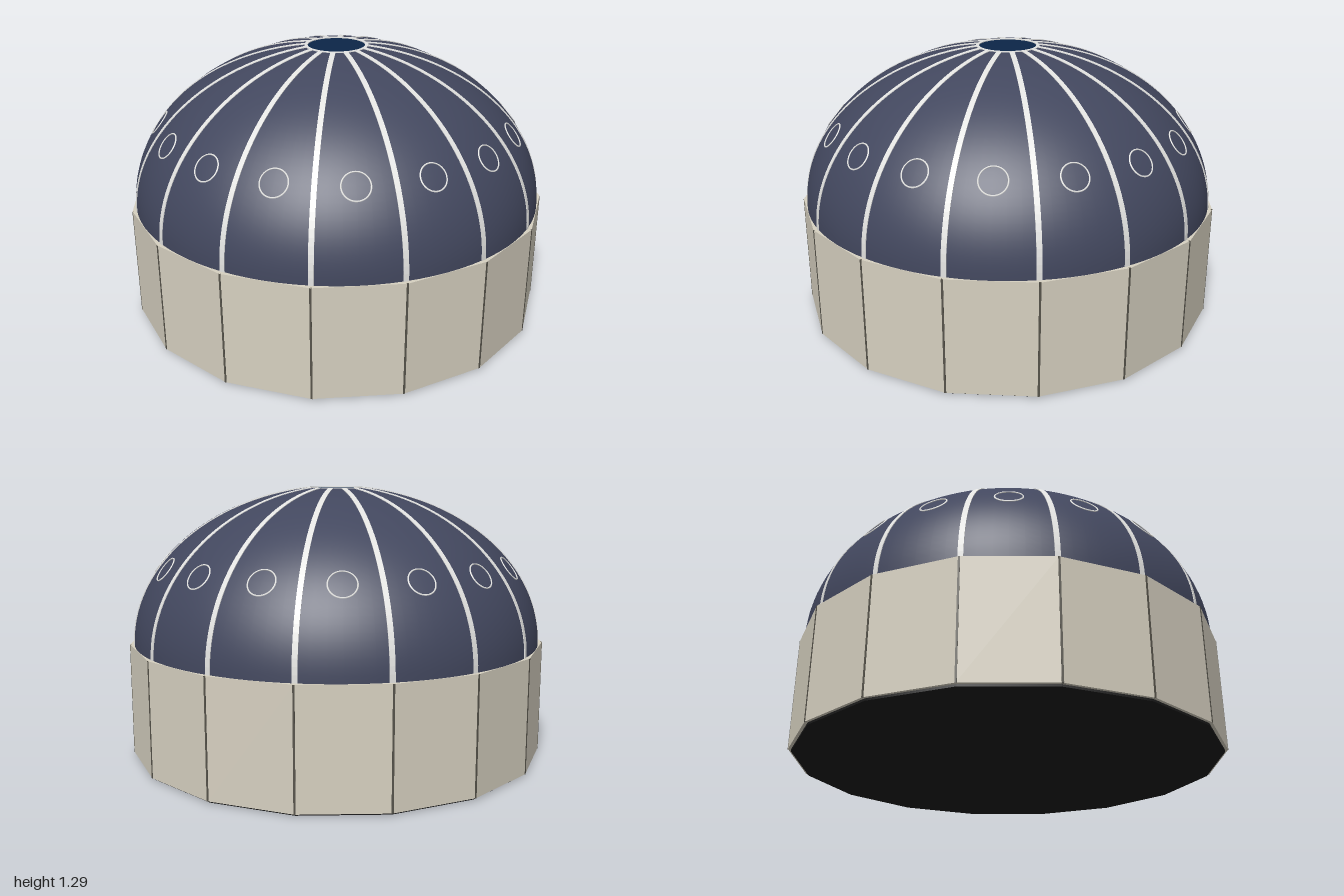
import * as THREE from 'three';

const SIDES = 16;
const STEP = (Math.PI * 2) / SIDES;
const BASE_Y = 0.55;      // springing line of the dome
const DOME_R = 0.996;
const DOME_H = 0.75;
const OCULUS_R = 0.15;
const APOTHEM = 0.998;
const CORNER_R = APOTHEM / Math.cos(STEP / 2);

const mat = (name, color) => {
  const m = new THREE.MeshStandardMaterial({ color });
  m.name = name;
  return m;
};

// Point on the dome's elliptical meridian, pushed outward by an offset
function meridian(t, offset = 0) {
  const n = new THREE.Vector2(Math.cos(t) / DOME_R, Math.sin(t) / DOME_H).normalize();
  return new THREE.Vector2(DOME_R * Math.cos(t), BASE_Y + DOME_H * Math.sin(t)).addScaledVector(n, offset);
}

function arc(offset, count) {
  const end = Math.acos(OCULUS_R / DOME_R);
  return Array.from({ length: count + 1 }, (_, i) => meridian((end * i) / count, offset));
}

export function createModel() {
  const stone = mat('stone', 0xd6d0c0);
  const seamGrey = mat('seam grey', 0x57544b);
  const slate = mat('slate blue', 0x42475e);
  const white = mat('rib white', 0xe2e2e0);
  const glass = mat('oculus blue', 0x0c2548);
  const black = mat('floor black', 0x1a1a1a);
  slate.side = THREE.DoubleSide;

  const model = new THREE.Group();
  model.name = 'ribbedDome';
  const add = (name, geometry, material, parent = model) => {
    const mesh = new THREE.Mesh(geometry, material);
    mesh.name = name;
    parent.add(mesh);
    return mesh;
  };
  const group = (name) => {
    const g = new THREE.Group();
    g.name = name;
    model.add(g);
    return g;
  };

  // Sixteen-sided drum with flat walls
  const drumGeo = new THREE.CylinderGeometry(CORNER_R, CORNER_R, BASE_Y - 0.01, SIDES, 1);
  drumGeo.rotateY(STEP / 2);
  const flatDrum = drumGeo.toNonIndexed();
  flatDrum.computeVertexNormals();
  add('drum', flatDrum, stone).position.y = (BASE_Y + 0.01) / 2;

  // Floor plate, slightly inset under the drum
  const floorGeo = new THREE.CylinderGeometry(CORNER_R - 0.014, CORNER_R - 0.014, 0.012, SIDES);
  floorGeo.rotateY(STEP / 2);
  add('floor', floorGeo, black).position.y = 0.006;

  // Smooth dome shell, open at the oculus
  add('domeShell', new THREE.LatheGeometry(arc(0, 32), 96), slate);

  // Ribs and wall seams at the drum corners
  const outer = arc(0.003, 32);
  const inner = arc(-0.006, 32).reverse();
  const ribGeo = new THREE.ExtrudeGeometry(new THREE.Shape([...outer, ...inner]), {
    depth: 0.024, bevelEnabled: false,
  });
  ribGeo.translate(0, 0, -0.012);
  const seamGeo = new THREE.BoxGeometry(0.008, BASE_Y - 0.01, 0.009);
  const ribs = group('ribs');
  const seams = group('wallSeams');
  for (let i = 0; i < SIDES; i++) {
    const a = (i + 0.5) * STEP;
    add('rib', ribGeo, white, ribs).rotation.y = a;
    const seam = add('wallSeam', seamGeo, seamGrey, seams);
    seam.position.set(Math.cos(a) * (CORNER_R - 0.003), (BASE_Y + 0.01) / 2, -Math.sin(a) * (CORNER_R - 0.003));
    seam.rotation.y = a;
  }

  // Round window frames, one centred on every dome panel
  const frameGeo = new THREE.TorusGeometry(0.062, 0.0035, 6, 40);
  const windows = group('windowFrames');
  const t = Math.acos(0.86 / DOME_R);
  const spot = meridian(t, 0.001);
  const tilt = Math.atan2(Math.sin(t) / DOME_H, Math.cos(t) / DOME_R);
  for (let i = 0; i < SIDES; i++) {
    const pivot = new THREE.Group();
    pivot.name = 'windowFrame';
    pivot.rotation.y = i * STEP;
    windows.add(pivot);
    const frame = add('frameRing', frameGeo, white, pivot);
    frame.position.set(0, spot.y, spot.x);
    frame.rotation.x = -tilt;
    // Bend the ring so it hugs the curved shell
    if (i === 0) {
      const p = frameGeo.attributes.position;
      for (let k = 0; k < p.count; k++) {
        const x = p.getX(k), y = p.getY(k);
        p.setZ(k, p.getZ(k) - 0.55 * x * x - 0.45 * y * y);
      }
      frameGeo.computeVertexNormals();
    }
  }

  // Oculus rim and its glass disc
  const top = BASE_Y + DOME_H * Math.sin(Math.acos(OCULUS_R / DOME_R));
  const rim = [[0.137, top - 0.02], [0.153, top - 0.02], [0.153, top + 0.003], [0.137, top + 0.003], [0.137, top - 0.02]];
  const rimGeo = new THREE.LatheGeometry(rim.map(([x, y]) => new THREE.Vector2(x, y)), 48).toNonIndexed();
  rimGeo.computeVertexNormals();
  add('oculusRim', rimGeo, white);
  add('oculusGlass', new THREE.CylinderGeometry(0.14, 0.14, 0.008, 48), glass).position.y = top - 0.005;

  return model;
}
